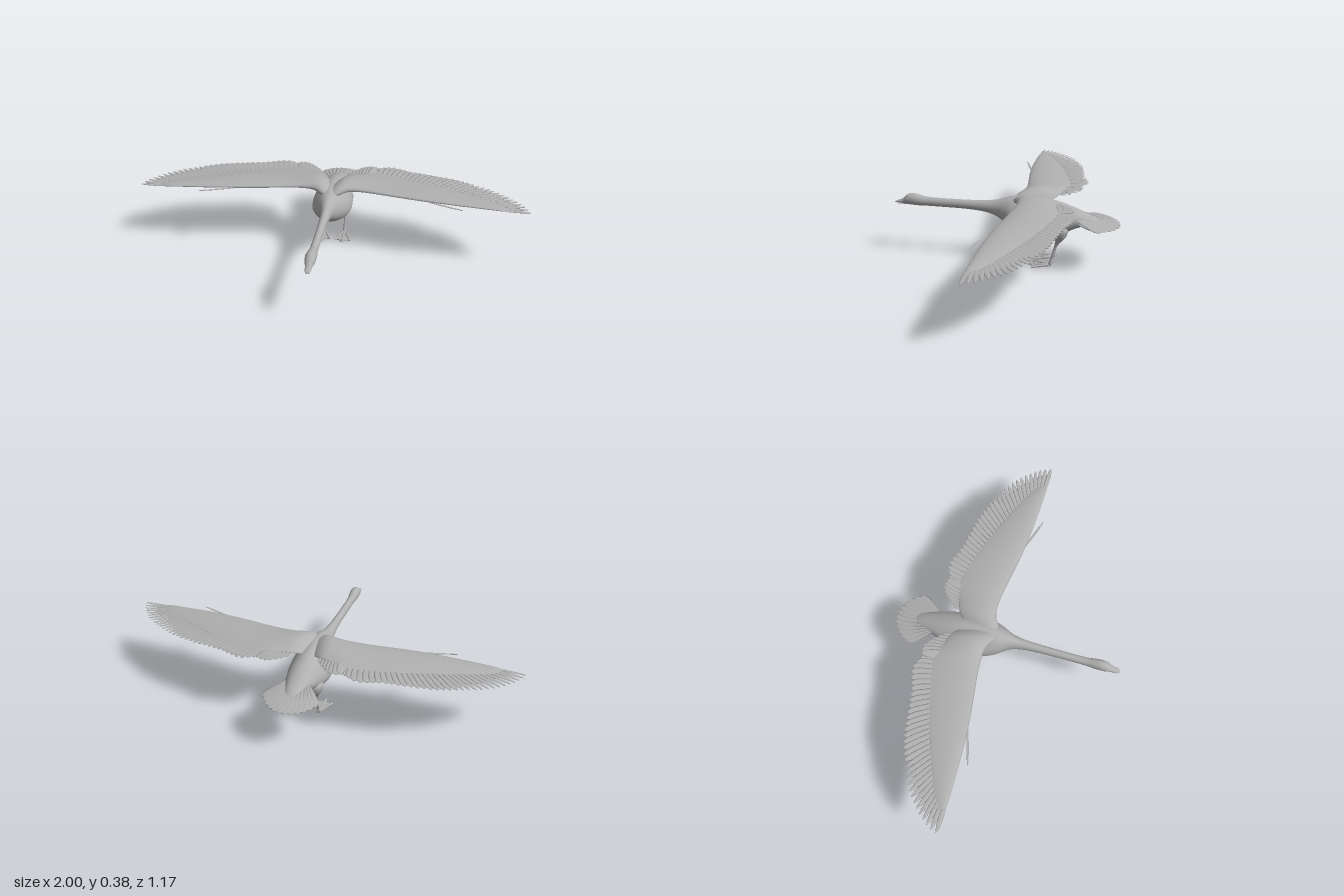
import * as THREE from 'three';
import { mergeGeometries } from 'three/addons/utils/BufferGeometryUtils.js';

const V = (x, y, z) => new THREE.Vector3(x, y, z);
const X = V(1, 0, 0), Y = V(0, 1, 0), Z = V(0, 0, 1);

// Closed skin through rings {c, r, u, w, h, egg, taper}; rings advance along r x u
function loft(rings, n = 20) {
  const pos = [], idx = [], last = rings.length - 1;
  for (const { c, r, u, w, h, egg = 0, taper = 0, camber = 0 } of rings) {
    for (let j = 0; j < n; j++) {
      const a = (j / n) * Math.PI * 2, co = Math.cos(a), si = Math.sin(a);
      const p = c.clone().addScaledVector(r, w * co * (1 - egg * si));
      p.addScaledVector(u, h * si * (1 - taper * co) + camber * (1 - co * co));
      pos.push(p.x, p.y, p.z);
    }
  }
  for (let i = 0; i < last; i++) {
    for (let j = 0; j < n; j++) {
      const k = (j + 1) % n, a = i * n + j, b = i * n + k;
      idx.push(a, b, a + n, b, b + n, a + n);
    }
  }
  const s = pos.length / 3, A = rings[0].c, B = rings[last].c;
  pos.push(A.x, A.y, A.z, B.x, B.y, B.z);
  for (let j = 0; j < n; j++) {
    const k = (j + 1) % n;
    idx.push(s, k, j, s + 1, last * n + j, last * n + k);
  }
  const g = new THREE.BufferGeometry();
  g.setAttribute('position', new THREE.Float32BufferAttribute(pos, 3));
  g.setIndex(idx);
  g.computeVertexNormals();
  return g;
}

// Smooth curve through table rows, sampled as rows
function resample(rows, count) {
  const out = [];
  for (let i = 0; i <= count; i++) {
    const f = (i / count) * (rows.length - 1), k = Math.min(Math.floor(f), rows.length - 2), t = f - k;
    const at = (q) => rows[Math.max(0, Math.min(rows.length - 1, q))];
    out.push(rows[k].map((_, c) => THREE.MathUtils.clamp(
      0.5 * (2 * at(k)[c] + (at(k + 1)[c] - at(k - 1)[c]) * t
        + (2 * at(k - 1)[c] - 5 * at(k)[c] + 4 * at(k + 1)[c] - at(k + 2)[c]) * t * t
        + (3 * at(k)[c] - at(k - 1)[c] - 3 * at(k + 1)[c] + at(k + 2)[c]) * t * t * t), -2, 2)));
  }
  return out;
}

// Thin flat feather from base to tip
const ROUND = [[0, 0.5], [0.4, 0.9], [0.75, 1], [0.9, 0.85], [0.97, 0.5], [1, 0.08]];
const POINTED = [[0, 0.6], [0.4, 1], [0.7, 0.9], [0.88, 0.6], [0.97, 0.28], [1, 0.05]];
function feather(base, tip, w, profile, roll = 0) {
  const d = tip.clone().sub(base).normalize();
  const r = Y.clone().cross(d).normalize().applyAxisAngle(d, roll);
  const u = d.clone().cross(r);
  return loft(profile.map(([t, k]) => ({ c: base.clone().lerp(tip, t), r, u, w: w * k, h: 0.0022 })), 8);
}

function mirrored(geo) {
  const g = geo.clone().scale(-1, 1, 1);
  if (!g.index) g.setIndex([...Array(g.attributes.position.count).keys()]);
  const a = g.index.array;
  for (let i = 0; i < a.length; i += 3) [a[i], a[i + 1]] = [a[i + 1], a[i]];
  g.computeVertexNormals();
  return g;
}

export function createModel() {
  const model = new THREE.Group();
  model.name = 'flyingBird';
  const grey = new THREE.MeshStandardMaterial({ color: 0xb0b0b0 });
  grey.name = 'plainGrey';
  const add = (name, geo) => {
    const m = new THREE.Mesh(geo, grey);
    m.name = name;
    model.add(m);
  };
  const pair = (name, geo) => {
    add(name + 'Left', geo);
    add(name + 'Right', mirrored(geo));
  };

  // Body, neck and head: z, top, bottom, half width, egg
  const trunk = [
    [-0.485, 0.247, 0.239, 0.014, 0], [-0.465, 0.258, 0.232, 0.03, 0], [-0.42, 0.278, 0.222, 0.046, 0],
    [-0.36, 0.302, 0.2, 0.066, 0.05], [-0.3, 0.324, 0.17, 0.084, 0.15], [-0.24, 0.34, 0.154, 0.095, 0.25],
    [-0.17, 0.35, 0.153, 0.1, 0.3], [-0.1, 0.352, 0.162, 0.094, 0.3], [-0.04, 0.344, 0.182, 0.074, 0.2],
    [0, 0.333, 0.205, 0.052, 0.1], [0.04, 0.321, 0.232, 0.034, 0], [0.1, 0.312, 0.251, 0.024, 0],
    [0.2, 0.308, 0.26, 0.02, 0], [0.32, 0.307, 0.261, 0.019, 0], [0.41, 0.309, 0.261, 0.02, 0],
    [0.45, 0.317, 0.26, 0.024, 0], [0.485, 0.323, 0.261, 0.026, 0], [0.515, 0.317, 0.263, 0.024, 0],
    [0.535, 0.299, 0.265, 0.018, 0], [0.555, 0.286, 0.267, 0.014, 0],
  ];
  add('body', loft(resample(trunk, 76).map(([z, t, b, w, egg]) => (
    { c: V(0, (t + b) / 2, z), r: X, u: Y, w, h: (t - b) / 2, egg })), 28));

  // Bill halves: z, centre height, half width, half height
  const bill = (rows) => loft(rows.map(([z, y, w, h]) => ({ c: V(0, y, z), r: X, u: Y, w, h })), 14);
  add('upperBill', bill([[0.525, 0.285, 0.015, 0.013], [0.55, 0.28, 0.015, 0.008], [0.572, 0.275, 0.014, 0.005], [0.585, 0.271, 0.006, 0.002]]));
  add('lowerBill', bill([[0.525, 0.268, 0.014, 0.005], [0.555, 0.267, 0.013, 0.004], [0.576, 0.266, 0.008, 0.002]]));
  pair('eye', new THREE.SphereGeometry(0.004, 10, 8).translate(0.0215, 0.302, 0.49));

  // Wing arm: x, leading z, trailing z, height, half thickness
  const arm = [
    [0, -0.04, -0.2, 0.315, 0.018], [0.04, -0.052, -0.245, 0.333, 0.022], [0.08, -0.075, -0.27, 0.345, 0.02],
    [0.13, -0.084, -0.285, 0.347, 0.017], [0.2, -0.08, -0.315, 0.345, 0.014], [0.3, -0.067, -0.302, 0.342, 0.012],
    [0.45, -0.047, -0.255, 0.339, 0.011], [0.6, -0.035, -0.2, 0.335, 0.009], [0.75, -0.03, -0.14, 0.329, 0.007],
    [0.84, -0.028, -0.1, 0.325, 0.005], [0.88, -0.031, -0.07, 0.322, 0.003], [0.893, -0.042, -0.055, 0.321, 0.001],
  ];
  const back = V(0, 0, -1);
  pair('wingArm', loft(resample(arm, 44).map(([x, a, b, y, h]) => (
    { c: V(x, y, (a + b) / 2), r: back, u: Y, w: (a - b) / 2, h, taper: 0.55, camber: h * 0.5 })), 20));

  // Flight feathers fan from the arm to the wing outline
  const wingY = (x) => 0.351 - 0.031 * Math.pow(x, 1.5);
  const curve = (pts) => new THREE.CatmullRomCurve3(pts.map(([x, z]) => V(x, 0, z)));
  const roots = curve([[0.2, -0.2], [0.35, -0.2], [0.5, -0.165], [0.64, -0.115], [0.75, -0.075], [0.82, -0.05], [0.84, -0.04]]);
  const tips = curve([[0.225, -0.365], [0.29, -0.39], [0.4, -0.358], [0.52, -0.338], [0.64, -0.315], [0.75, -0.27],
    [0.85, -0.22], [0.93, -0.15], [0.98, -0.085], [0.998, -0.04]]);
  const flight = [], COUNT = 32;
  for (let i = 0; i < COUNT; i++) {
    const t = i / (COUNT - 1), a = roots.getPointAt(t), b = tips.getPointAt(t);
    a.y = wingY(a.x) - 0.004;
    b.y = wingY(b.x);
    flight.push(feather(a, b, 0.022 - 0.01 * t, t > 0.6 ? POINTED : ROUND, 0.12));
  }
  pair('flightFeathers', mergeGeometries(flight));

  // Short inner feathers beside the body
  const inner = [];
  for (let i = 0; i < 7; i++) {
    const t = i / 6;
    inner.push(feather(V(0.09 + 0.07 * t, 0.345, -0.18), V(0.085 + 0.12 * t, 0.353 - 0.012 * (1 - t), -0.3 - 0.075 * Math.sin(t * 2)), 0.021, ROUND, 0.15));
  }
  pair('innerFeathers', mergeGeometries(inner));

  // Small thumb feather on the leading edge
  pair('thumbFeather', feather(V(0.5, 0.334, -0.045), V(0.668, 0.331, 0.008), 0.006, POINTED));

  // Tail fan, upper and lower layers
  const fan = (count, reach, y0, y1, w) => {
    const list = [];
    for (let i = 0; i < count; i++) {
      const s = (i / (count - 1)) * 2 - 1, a = s * 0.98;
      const b = V(Math.sin(a) * 0.155 * reach, y1 + 0.004 * Math.abs(s), -0.4 - (0.185 * Math.cos(a) - 0.01 * s * s) * reach);
      list.push(feather(V(s * 0.04, y0 - 0.006 * Math.abs(s), -0.37), b, w, ROUND, 0.08));
    }
    return mergeGeometries(list);
  };
  add('tailFeathers', fan(12, 1, 0.27, 0.229, 0.025));
  add('underTailFeathers', fan(9, 0.66, 0.25, 0.222, 0.02));

  // Legs: height, z, radius
  const leg = [
    [0.006, -0.243, 0.006], [0.018, -0.245, 0.009], [0.04, -0.251, 0.006], [0.09, -0.264, 0.006],
    [0.12, -0.274, 0.009], [0.145, -0.285, 0.018], [0.17, -0.292, 0.032], [0.21, -0.29, 0.042], [0.24, -0.285, 0.02],
  ];
  pair('leg', loft(resample(leg, 32).map(([y, z, q]) => ({ c: V(0.054, y, z), r: Z, u: X, w: q, h: q })), 14));

  // Webbed feet with three front toes and a small hind toe
  const web = new THREE.Shape();
  web.moveTo(-0.006, 0);
  web.lineTo(-0.042, 0.09);
  web.quadraticCurveTo(-0.015, 0.08, 0, 0.112);
  web.quadraticCurveTo(0.015, 0.08, 0.042, 0.09);
  web.lineTo(0.006, 0);
  pair('footWeb', new THREE.ExtrudeGeometry(web, { depth: 0.005, bevelEnabled: false, curveSegments: 8 })
    .rotateX(Math.PI / 2).translate(0.054, 0.008, -0.247));
  const toe = (to, q) => {
    const path = new THREE.CatmullRomCurve3([V(0.054, 0.012, -0.245), V(0.054 + to[0] * 0.5, 0.01, -0.245 + to[1] * 0.5), V(0.054 + to[0], 0.006, -0.245 + to[1])]);
    return new THREE.TubeGeometry(path, 8, q, 8);
  };
  pair('toes', mergeGeometries([toe([-0.042, 0.092], 0.006), toe([0, 0.115], 0.006), toe([0.042, 0.092], 0.006)]));
  pair('hindToe', new THREE.ConeGeometry(0.005, 0.024, 8).rotateX(-2).translate(0.054, 0.028, -0.256));
  return model;
}
